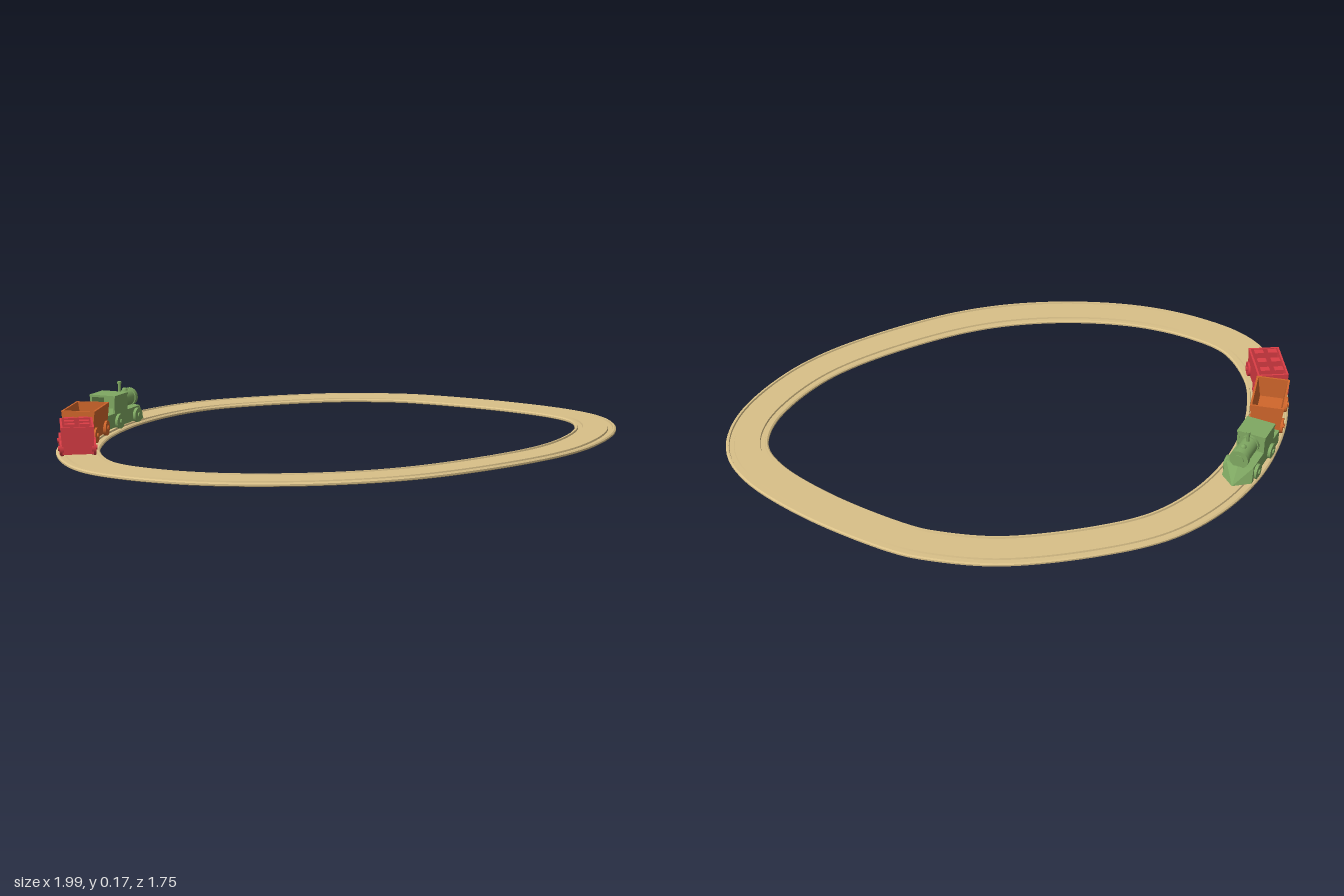
import * as THREE from 'three';
import { ConvexGeometry } from 'three/addons/geometries/ConvexGeometry.js';

const paint = (color) => new THREE.MeshStandardMaterial({ color });
const wood = paint(0xd9c088), red = paint(0xdb3d45), orange = paint(0xd0662b), green = paint(0x7fa862);

function add(parent, name, geometry, material, x = 0, y = 0, z = 0) {
  const mesh = new THREE.Mesh(geometry, material);
  mesh.name = name;
  mesh.position.set(x, y, z);
  parent.add(mesh);
  return mesh;
}
const box = (w, h, d) => new THREE.BoxGeometry(w, h, d);
const rod = (r, len, sides = 24) => new THREE.CylinderGeometry(r, r, len, sides);

// Grooved cross-section swept around a closed, flat loop
function trackGeometry() {
  const loop = [
    [0.09, -0.8], [-0.14, -0.775], [-0.46, -0.64], [-0.65, -0.51], [-0.78, -0.34], [-0.87, -0.13],
    [-0.91, 0.08], [-0.913, 0.25], [-0.875, 0.46], [-0.75, 0.665], [-0.575, 0.755], [-0.315, 0.795],
    [0.03, 0.74], [0.34, 0.595], [0.71, 0.255], [0.85, 0.03], [0.92, -0.24], [0.89, -0.42],
    [0.79, -0.54], [0.54, -0.68], [0.2, -0.79],
  ].map(([x, z]) => new THREE.Vector3(x, 0, z));
  const curve = new THREE.CatmullRomCurve3(loop, true);
  const top = [[0.046, 0.013], [0.048, 0.007], [0.064, 0.007], [0.066, 0.013], [0.072, 0.013], [0.077, 0.009]];
  const profile = [
    ...top.map(([u, y]) => [-u, y]).reverse(), ...top,
    [0.077, 0.003], [0.072, 0], [-0.072, 0], [-0.077, 0.003],
  ];
  const steps = 180, positions = [], index = [];
  profile.forEach((start, j) => {
    const end = profile[(j + 1) % profile.length], base = positions.length / 3;
    for (let i = 0; i < steps; i++) {
      const p = curve.getPointAt(i / steps), t = curve.getTangentAt(i / steps);
      for (const [u, y] of [start, end]) positions.push(p.x - t.z * u, y, p.z + t.x * u);
      const a = base + i * 2, d = base + ((i + 1) % steps) * 2;
      index.push(a, a + 1, d + 1, a, d + 1, d);
    }
  });
  const geometry = new THREE.BufferGeometry();
  geometry.setAttribute('position', new THREE.Float32BufferAttribute(positions, 3));
  geometry.setIndex(index);
  geometry.computeVertexNormals();
  return geometry;
}

// Two axles, each with a wheel and hub on both sides
function addWheels(parent, material) {
  for (const z of [-0.069, 0.069]) {
    add(parent, 'axle', rod(0.006, 0.11, 12), material, 0, 0.035, z).rotation.z = Math.PI / 2;
    for (const side of [-1, 1]) {
      add(parent, 'wheel', rod(0.028, 0.014), material, side * 0.056, 0.035, z).rotation.z = Math.PI / 2;
      add(parent, 'hub', rod(0.009, 0.006, 16), material, side * 0.065, 0.035, z).rotation.z = Math.PI / 2;
    }
  }
}

// Open-topped wagon: sloping sides as one extruded U, closed by two end walls
function wagon(name, material, bottomHalf, topHalf, height, length) {
  const group = new THREE.Group();
  group.name = name;
  const low = 0.016, floor = 0.045, wall = 0.007;
  const extrude = (points, depth) => new THREE.ExtrudeGeometry(
    new THREE.Shape(points.map(([x, y]) => new THREE.Vector2(x, y))), { depth, bevelEnabled: false });
  const outline = [[-topHalf, height], [-bottomHalf, low], [bottomHalf, low], [topHalf, height]];
  const inner = [[topHalf - wall, height], [bottomHalf - wall, floor], [wall - bottomHalf, floor], [wall - topHalf, height]];
  add(group, 'tub', extrude([...outline, ...inner], length - 2 * wall), material, 0, 0, wall - length / 2);
  for (const z of [-length / 2, length / 2 - wall]) add(group, 'endWall', extrude(outline, wall), material, 0, 0, z);
  addWheels(group, material);
  return group;
}

function locomotive() {
  const group = new THREE.Group();
  group.name = 'locomotive';
  add(group, 'chassis', box(0.104, 0.053, 0.253), green, 0, 0.0415, 0.0285);
  // Cab open towards the rear
  add(group, 'cabRoof', box(0.108, 0.008, 0.1), green, 0, 0.13, 0.048);
  add(group, 'cabFront', box(0.1, 0.06, 0.008), green, 0, 0.097, 0.004);
  for (const side of [-1, 1]) add(group, 'cabSide', box(0.008, 0.06, 0.098), green, side * 0.048, 0.097, 0.048);
  // Boiler with raised bands
  add(group, 'boiler', rod(0.031, 0.115, 32), green, 0, 0.096, -0.0525).rotation.x = Math.PI / 2;
  for (const [z, len] of [[-0.01, 0.01], [-0.106, 0.018]])
    add(group, 'boilerBand', rod(0.035, len, 32), green, 0, 0.096, z).rotation.x = Math.PI / 2;
  add(group, 'boilerCap', rod(0.018, 0.004), green, 0, 0.096, -0.116).rotation.x = Math.PI / 2;
  add(group, 'chimney', rod(0.006, 0.045, 16), green, 0, 0.143, -0.035);
  add(group, 'chimneyRim', rod(0.008, 0.008, 16), green, 0, 0.162, -0.035);
  add(group, 'dome', new THREE.SphereGeometry(0.011, 16, 10), green, 0, 0.126, -0.075);
  // Pointed plough at the front
  const corners = [[0, 0.013, -0.164], [0, 0.068, -0.12]];
  for (const side of [-1, 1])
    corners.push([side * 0.056, 0.013, -0.118], [side * 0.052, 0.068, -0.097], [side * 0.056, 0.013, -0.097]);
  add(group, 'plough', new ConvexGeometry(corners.map((c) => new THREE.Vector3(...c))), green);
  addWheels(group, green);
  return group;
}

export function createModel() {
  const model = new THREE.Group();
  model.name = 'toyTrain';
  add(model, 'track', trackGeometry(), wood);

  const engine = locomotive();
  engine.position.set(-0.888, 0, -0.087);
  engine.rotation.y = -0.245;

  const hopper = wagon('hopperWagon', orange, 0.05, 0.062, 0.127, 0.197);
  hopper.position.set(-0.921, 0, 0.2);

  // Rear wagon carries six square posts
  const crate = wagon('crateWagon', red, 0.054, 0.058, 0.112, 0.19);
  for (const x of [-0.026, 0.026])
    for (const z of [-0.06, 0, 0.06]) add(crate, 'post', box(0.034, 0.074, 0.026), red, x, 0.082, z);
  crate.position.set(-0.888, 0, 0.428);
  crate.rotation.y = 0.315;
  model.add(engine, hopper, crate);

  // Couplings between the vehicles
  for (const [z, material] of [[0.085, green], [0.32, red]])
    add(model, 'coupling', rod(0.005, 0.06, 12), material, -0.921, 0.039, z).rotation.x = Math.PI / 2;
  return model;
}
